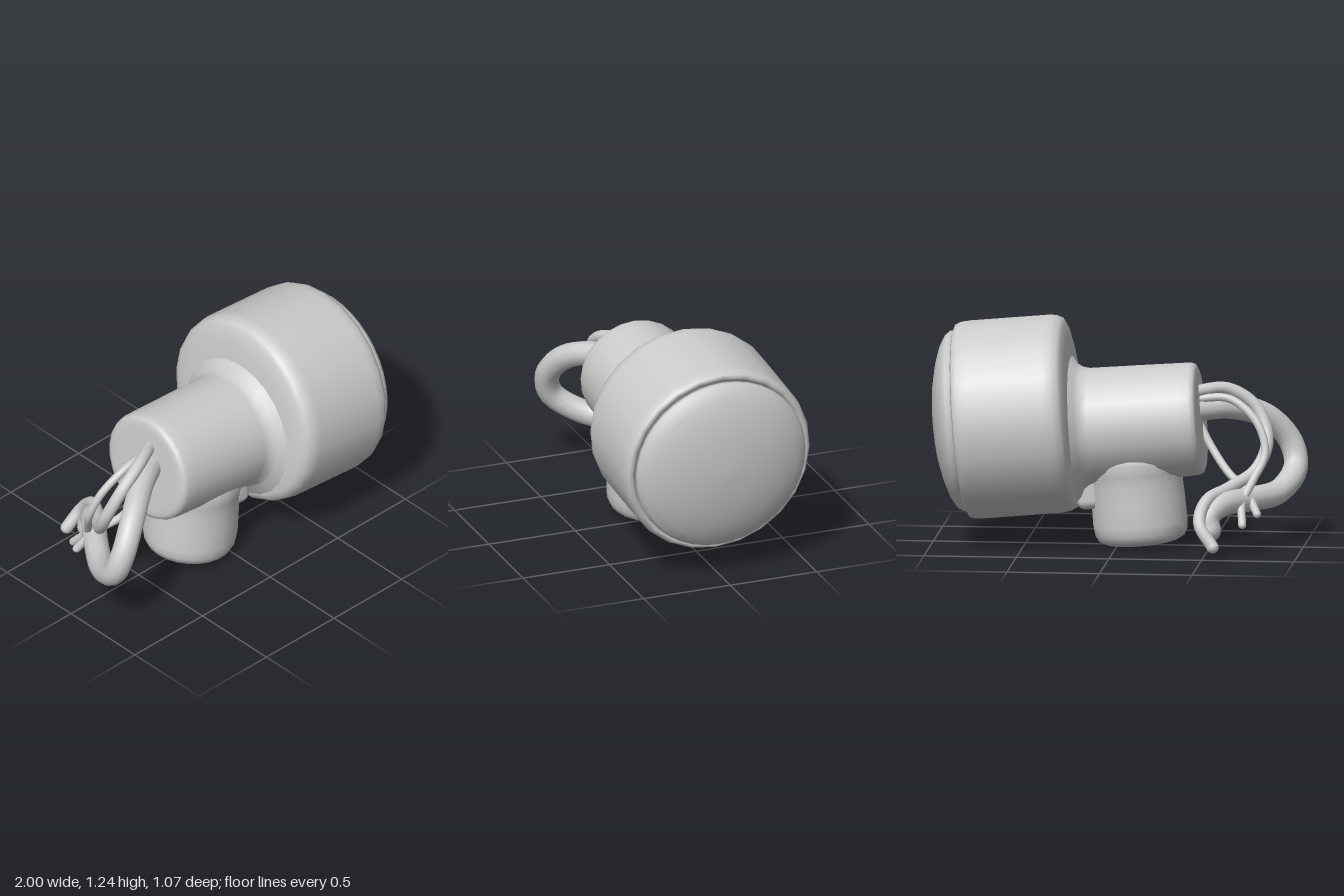
import * as THREE from 'three';
import { RoundedBoxGeometry } from 'three/addons/geometries/RoundedBoxGeometry.js';

const material = new THREE.MeshStandardMaterial({ color: 0xcccccc, side: THREE.DoubleSide });

function addMesh(parent, name, geometry) {
  const mesh = new THREE.Mesh(geometry, material);
  mesh.name = name;
  parent.add(mesh);
  return mesh;
}

// Turned part from [radius, height] pairs, listed from bottom to top
function turned(profile, segments = 24) {
  return new THREE.LatheGeometry(profile.map(([r, h]) => new THREE.Vector2(r, h)), segments);
}

// Bent cable with rounded ends
function addCable(parent, name, radius, points) {
  const group = new THREE.Group();
  group.name = name;
  const path = points.map((p) => new THREE.Vector3(...p));
  const curve = new THREE.CatmullRomCurve3(path);
  addMesh(group, name + 'Run', new THREE.TubeGeometry(curve, 48, radius, 12));
  const tip = addMesh(group, name + 'Tip', new THREE.SphereGeometry(radius, 12, 8));
  tip.position.copy(path[path.length - 1]);
  parent.add(group);
}

export function createModel() {
  const model = new THREE.Group();
  model.name = 'pipeFitting';

  // Tilted body; its local x runs along the head's axis
  const body = new THREE.Group();
  body.name = 'body';
  body.position.set(0.25, 0.735, 0);
  body.rotation.z = -0.09;
  model.add(body);

  // Wide head with rounded back edge and rolled front rim
  const head = addMesh(body, 'head', turned([
    [0, -0.02], [0.3, -0.02], [0.42, -0.015], [0.485, 0], [0.515, 0.015], [0.532, 0.05],
    [0.537, 0.09], [0.537, 0.3], [0.537, 0.52], [0.534, 0.56], [0.522, 0.588],
    [0.505, 0.595], [0.49, 0.585], [0.475, 0.56], [0.45, 0.555], [0, 0.555],
  ]));
  head.rotation.z = -Math.PI / 2;

  // Domed front cap
  const cap = addMesh(body, 'frontCap', turned([
    [0, 0.56], [0.4, 0.565], [0.47, 0.585], [0.488, 0.605], [0.486, 0.625], [0.47, 0.647],
    [0.42, 0.677], [0.34, 0.705], [0.24, 0.728], [0.12, 0.743], [0, 0.748],
  ], 40));
  cap.rotation.z = -Math.PI / 2;

  // Barrel, set lower than the head and flared where they join
  const barrel = addMesh(body, 'barrel', turned([
    [0, -0.695], [0.24, -0.695], [0.275, -0.692], [0.295, -0.683], [0.305, -0.66],
    [0.307, -0.6], [0.312, -0.35], [0.316, -0.11], [0.325, -0.075], [0.345, -0.045],
    [0.385, -0.022], [0.41, 0.01],
  ]));
  barrel.rotation.z = -Math.PI / 2;
  barrel.position.y = -0.083;

  // Downward outlet with rounded foot
  const outlet = addMesh(body, 'outlet', turned([
    [0, -0.735], [0.12, -0.733], [0.195, -0.724], [0.232, -0.705], [0.25, -0.67],
    [0.256, -0.62], [0.254, -0.5], [0.25, -0.4], [0.256, -0.34], [0.268, -0.28], [0.25, -0.22],
    [0.2, -0.16], [0, -0.12],
  ]));
  outlet.position.x = -0.315;

  // Web between outlet and head
  const web = addMesh(body, 'web', new RoundedBoxGeometry(0.14, 0.2, 0.26, 3, 0.05));
  web.position.set(-0.06, -0.42, 0);

  // Cables leaving the back of the barrel
  addCable(model, 'thickCable', 0.067, [
    [-0.4, 0.76, 0.01], [-0.6, 0.76, 0.13], [-0.78, 0.69, 0.25], [-0.9, 0.55, 0.305],
    [-0.932, 0.42, 0.27], [-0.86, 0.31, 0.1], [-0.72, 0.295, -0.1], [-0.58, 0.29, -0.27],
    [-0.515, 0.23, -0.345], [-0.525, 0.165, -0.36],
  ]);
  addCable(model, 'mediumCable', 0.034, [
    [-0.41, 0.86, 0], [-0.58, 0.865, 0.09], [-0.73, 0.77, 0.11], [-0.8, 0.6, 0.06],
    [-0.75, 0.45, -0.04], [-0.62, 0.37, -0.19], [-0.51, 0.32, -0.35], [-0.485, 0.21, -0.46],
    [-0.56, 0.095, -0.5],
  ]);
  addCable(model, 'thinCableUpper', 0.022, [
    [-0.41, 0.82, 0], [-0.6, 0.82, 0.02], [-0.75, 0.7, -0.02], [-0.8, 0.54, -0.07],
    [-0.74, 0.4, -0.14], [-0.69, 0.29, -0.21], [-0.7, 0.185, -0.3],
  ]);
  addCable(model, 'thinCableLower', 0.022, [
    [-0.42, 0.7, 0.06], [-0.5, 0.56, 0.02], [-0.6, 0.43, -0.05], [-0.7, 0.35, -0.13],
    [-0.77, 0.23, -0.2],
  ]);

  return model;
}
